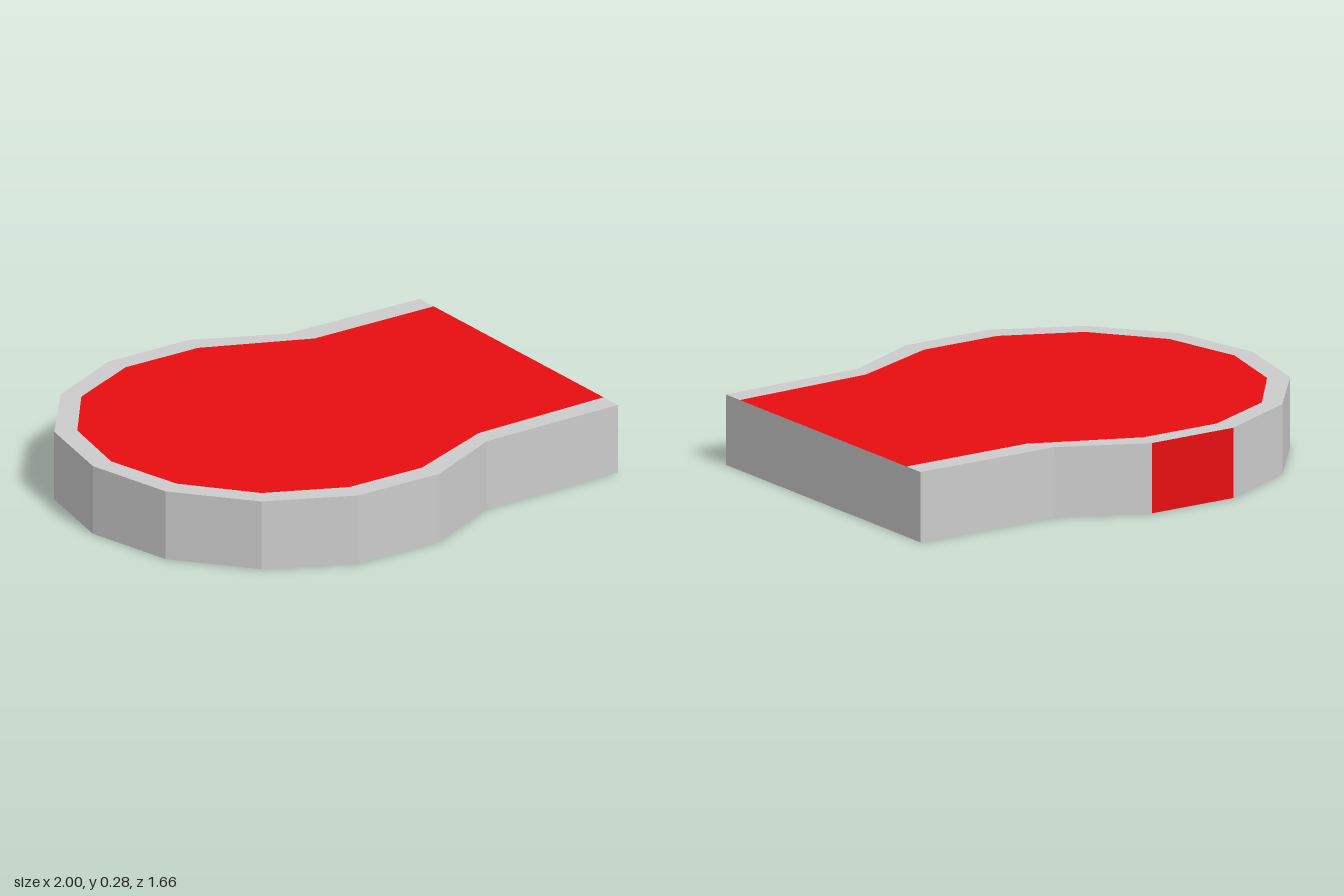
import * as THREE from 'three';

const HEIGHT = 0.28;
const grey = new THREE.MeshStandardMaterial({ color: 0xcccccc, flatShading: true });
const red = new THREE.MeshStandardMaterial({ color: 0xe70e10, flatShading: true });

// Plan outlines as [x, z], from the back corner of the open end, round the bowl, to the front corner.
const outer = [
  [1, -0.66], [0.38, -0.665], [0.04, -0.83], [-0.34, -0.83], [-0.68, -0.665], [-0.92, -0.37],
  [-1, 0],
  [-0.92, 0.37], [-0.68, 0.665], [-0.34, 0.83], [0.04, 0.83], [0.38, 0.665], [1, 0.655],
];
const inner = [
  [1, -0.567], [0.44, -0.565], [0.02, -0.745], [-0.32, -0.745], [-0.63, -0.6], [-0.84, -0.33],
  [-0.915, 0],
  [-0.84, 0.33], [-0.63, 0.595], [-0.32, 0.74], [0.02, 0.74], [0.4, 0.58], [1, 0.56],
];
const centre = [-0.15, 0];

// Flat horizontal polygon at height y, facing up (dir = 1) or down (dir = -1).
function plate(name, points, y, dir, material) {
  const shape = new THREE.Shape(points.map(([x, z]) => new THREE.Vector2(x, -dir * z)));
  const geometry = new THREE.ShapeGeometry(shape);
  geometry.rotateX(-dir * Math.PI / 2);
  const mesh = new THREE.Mesh(geometry, material);
  mesh.name = name;
  mesh.position.y = y;
  return mesh;
}

// Upright panel between two plan points, facing outwards.
function wall(name, [ax, az], [bx, bz], material) {
  const geometry = new THREE.PlaneGeometry(Math.hypot(bx - ax, bz - az), HEIGHT);
  const mesh = new THREE.Mesh(geometry, material);
  mesh.name = name;
  mesh.position.set((ax + bx) / 2, HEIGHT / 2, (az + bz) / 2);
  mesh.rotation.y = Math.atan2(az - bz, bx - ax);
  return mesh;
}

export function createModel() {
  const model = new THREE.Group();
  model.name = 'roundEndedPlatform';

  // Top: coloured floor with a flush border, open at the straight end
  model.add(plate('floor', inner, HEIGHT, 1, red));
  model.add(plate('border', [...outer, ...[...inner].reverse()], HEIGHT, 1, grey));

  // Underside: grey with one coloured wedge running to the centre of the round part
  const wedge = 10;
  const base = [...outer.slice(0, wedge + 1), centre, ...outer.slice(wedge + 1)];
  model.add(plate('underside', base, 0, -1, grey));
  model.add(plate('undersideWedge', [outer[wedge], outer[wedge + 1], centre], 0, -1, red));

  // Side panels, the rear one coloured
  const walls = new THREE.Group();
  walls.name = 'walls';
  outer.forEach((a, i) => {
    const b = outer[(i + 1) % outer.length];
    const rear = i === 2;
    const name = rear ? 'rearWall' : i === outer.length - 1 ? 'endWall' : 'sideWall';
    walls.add(wall(name, a, b, rear ? red : grey));
  });
  model.add(walls);

  return model;
}
